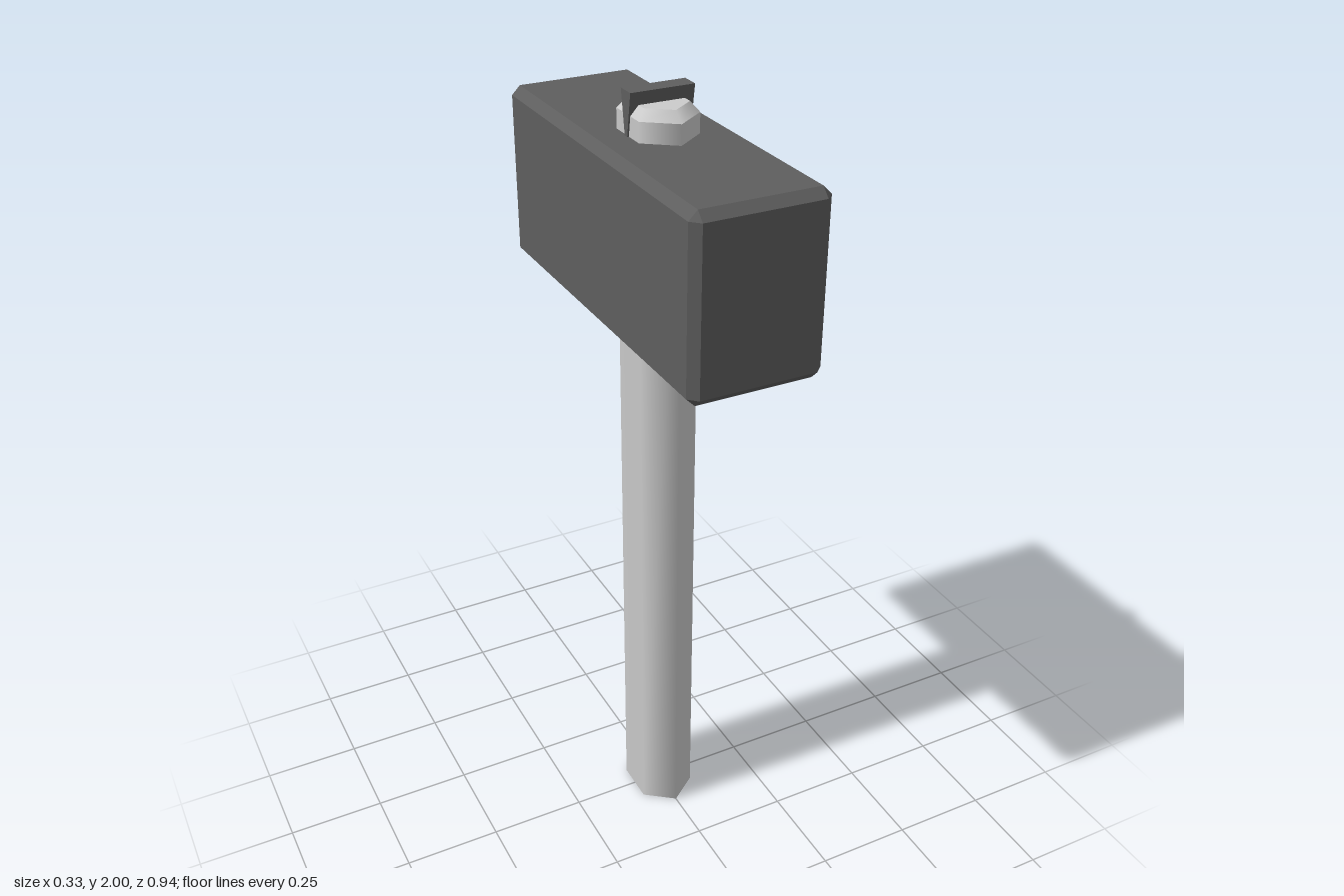
import * as THREE from 'three';
import { ConvexGeometry } from 'three/addons/geometries/ConvexGeometry.js';

const steel = new THREE.MeshStandardMaterial({ name: 'dark steel', color: 0x5e5e5e });
const grip = new THREE.MeshStandardMaterial({ name: 'pale handle', color: 0xcccccc });

// Box with all twelve edges cut at 45 degrees
function chamferedBox(w, h, d, c) {
  const points = [];
  for (const x of [-1, 1]) for (const y of [-1, 1]) for (const z of [-1, 1]) {
    for (let axis = 0; axis < 3; axis++) {
      const inset = [c, c, c];
      inset[axis] = 0;
      points.push(new THREE.Vector3(x * (w / 2 - inset[0]), y * (h / 2 - inset[1]), z * (d / 2 - inset[2])));
    }
  }
  return new ConvexGeometry(points);
}

// Six-sided stretched column between two heights
function hexColumn(topScale, y0, y1, open) {
  return new THREE.CylinderGeometry(topScale, 1, y1 - y0, 6, 1, open)
    .scale(0.0855, 1, 0.111)
    .translate(0, (y0 + y1) / 2, 0);
}

export function createModel() {
  const model = new THREE.Group();
  model.name = 'sledgehammer';
  const add = (name, geometry, material) => {
    const mesh = new THREE.Mesh(geometry, material);
    mesh.name = name;
    model.add(mesh);
    return mesh;
  };

  // Heavy block head
  add('head', chamferedBox(0.326, 0.43, 0.936, 0.021), steel).position.y = 1.685;

  // Handle passing through the head, with a bevelled end
  add('handle', hexColumn(1, 0, 1.947, false), grip);
  add('handleTip', hexColumn(0.755, 1.947, 1.97, false), grip);

  // Wedge driven into the handle, narrowing downwards
  const wedge = new THREE.BoxGeometry(0.156, 0.12, 0.046);
  const p = wedge.attributes.position;
  for (let i = 0; i < p.count; i++) if (p.getY(i) < 0) p.setZ(i, p.getZ(i) * 0.12);
  wedge.computeVertexNormals();
  add('wedge', wedge, steel).position.y = 1.94;

  return model;
}
